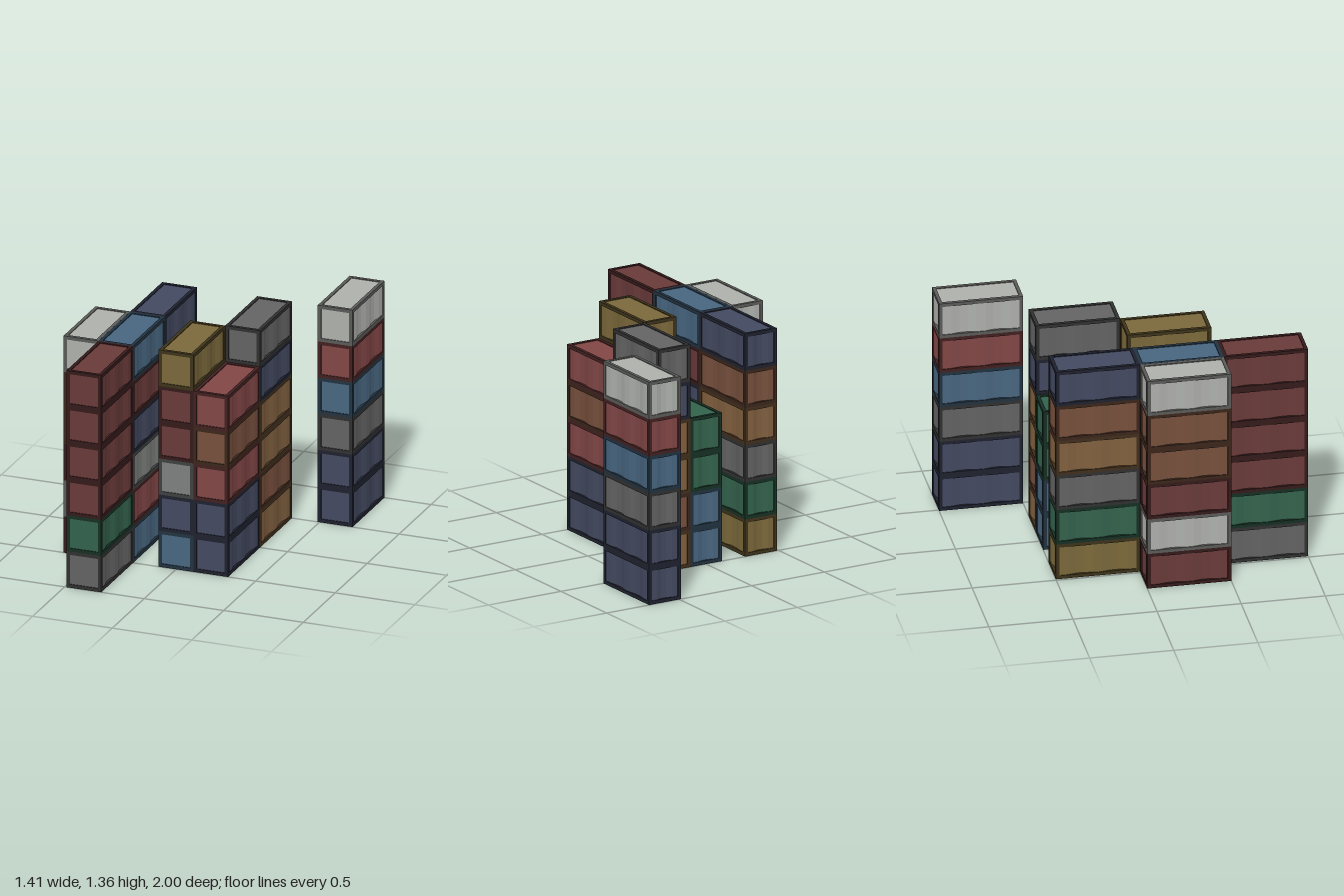
import * as THREE from 'three';
import { mergeGeometries } from 'three/addons/utils/BufferGeometryUtils.js';

const W = 0.2185, H = 0.2268, L = 0.5; // container size
const F = 0.021;                       // frame bar thickness
const INSET = 0.005, RIB = 0.01;       // panel recess and corrugation depth

const COLORS = {
  white: 0xaeb0ac, grey: 0x636363, silver: 0x7d807e, maroon: 0x6a3a3a, red: 0x824646,
  brown: 0x77503c, tan: 0x81603f, navy: 0x434960, blue: 0x486680, green: 0x33624c, yellow: 0x7b693b,
};

// Stacks: centre x, centre z, colours from the ground up
const STACKS = [
  [-0.598, 0.25, 'maroon white maroon brown brown white'],
  [-0.379, 0.75, 'grey green maroon maroon maroon maroon'],
  [-0.379, 0.25, 'blue red silver navy maroon blue'],
  [-0.379, -0.25, 'yellow green grey tan brown navy'],
  [-0.001, 0.25, 'blue navy silver maroon maroon yellow'],
  [-0.001, -0.25, 'blue blue green green'],
  [0.2175, 0.25, 'navy navy red brown red'],
  [0.2175, -0.25, 'tan brown tan tan navy grey'],
  [0.598, -0.75, 'navy navy grey blue red white'],
];

// Twelve bars around the edges of one container
function frameGeometry() {
  const bars = [];
  const bar = (w, h, l, x, y, z) => bars.push(new THREE.BoxGeometry(w, h, l).translate(x, y, z));
  const x = (W - F) / 2, y = (H - F) / 2, z = (L - F) / 2;
  for (const a of [-1, 1]) for (const b of [-1, 1]) {
    bar(F, H, F, a * x, 0, b * z);                 // posts
    bar(W - 2 * F, F, F, 0, a * y, b * z);         // cross bars
    bar(F, F, L - 2 * F, a * x, b * y, 0);         // long rails
  }
  return mergeGeometries(bars);
}

// Upright panel facing +z, pressed into trapezoid ribs when segments > 1
function panel(width, segments) {
  const g = new THREE.PlaneGeometry(width - 2 * F, H - 2 * F, segments, 1);
  const p = g.attributes.position;
  if (segments > 1) {
    for (let i = 0; i < p.count; i++) {
      p.setZ(i, (i % (segments + 1)) % 4 < 2 ? 0 : -RIB);
    }
  }
  return g;
}

// Ribbed sides and back, flat front and roof, open underneath
function panelGeometry() {
  const side = panel(L, 9).translate(0, 0, W / 2 - INSET);
  return mergeGeometries([
    side.clone().rotateY(Math.PI / 2),
    side.clone().rotateY(-Math.PI / 2),
    panel(W, 5).translate(0, 0, L / 2 - INSET).rotateY(Math.PI),
    panel(W, 1).translate(0, 0, L / 2 - INSET),
    new THREE.PlaneGeometry(W - 2 * F, L - 2 * F).rotateX(-Math.PI / 2).translate(0, H / 2 - INSET, 0),
  ]);
}

export function createModel() {
  const model = new THREE.Group();
  model.name = 'containerStacks';
  const frameGeo = frameGeometry(), panelGeo = panelGeometry();

  // One panel material and one darker frame material per colour
  const materials = {};
  for (const [name, hex] of Object.entries(COLORS)) {
    materials[name] = {
      panel: new THREE.MeshStandardMaterial({ color: hex, flatShading: true, side: THREE.DoubleSide }),
      frame: new THREE.MeshStandardMaterial({ color: new THREE.Color(hex).multiplyScalar(0.24) }),
    };
  }

  for (const [x, z, list] of STACKS) {
    const stack = new THREE.Group();
    stack.name = 'stack';
    stack.position.set(x, 0, z);
    list.split(' ').forEach((color, level) => {
      const container = new THREE.Group();
      container.name = color + 'Container';
      container.position.y = H * (level + 0.5);
      const frame = new THREE.Mesh(frameGeo, materials[color].frame);
      frame.name = 'frame';
      const walls = new THREE.Mesh(panelGeo, materials[color].panel);
      walls.name = 'wallPanels';
      container.add(frame, walls);
      stack.add(container);
    });
    model.add(stack);
  }
  return model;
}
